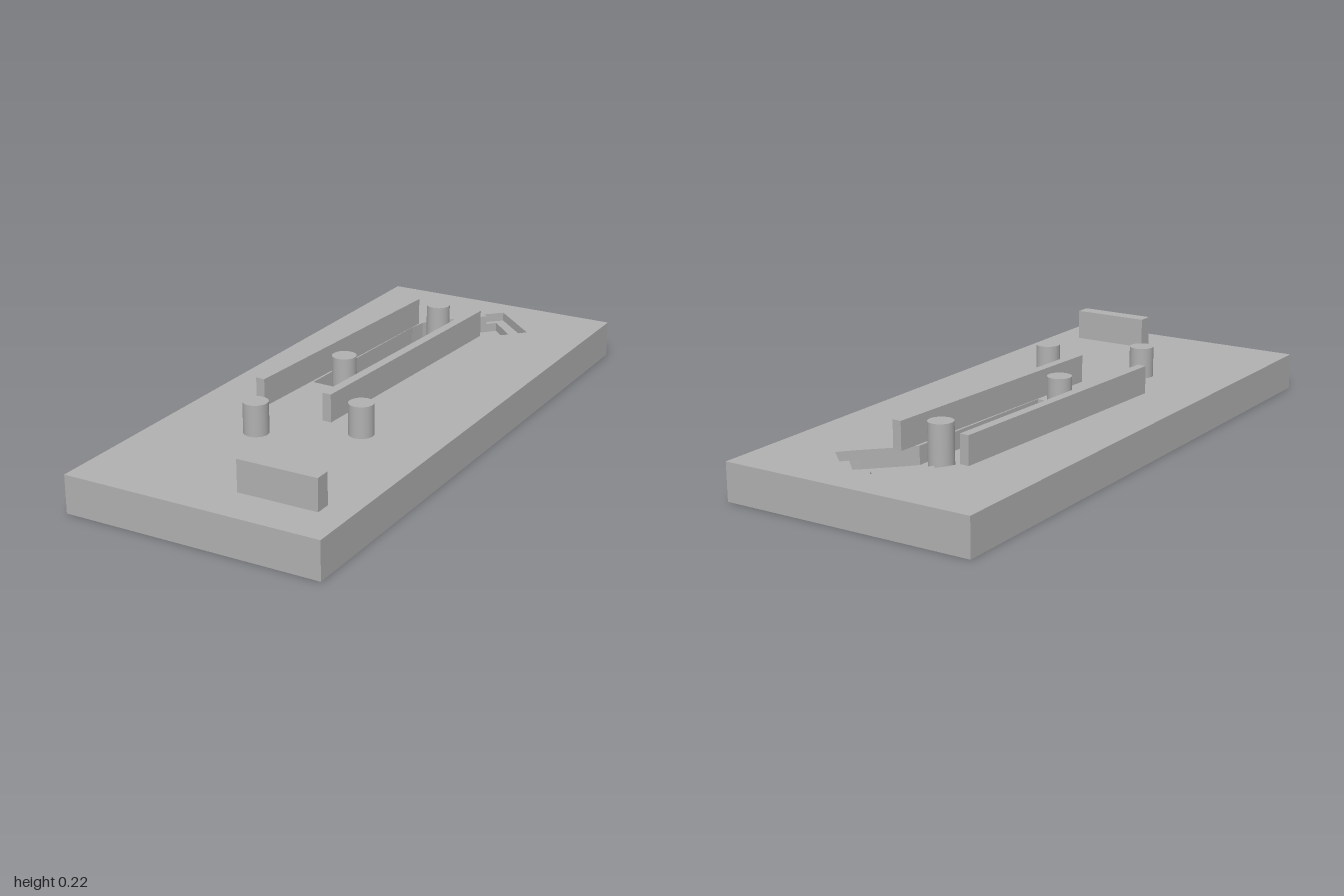
import * as THREE from 'three';

const TOP = 0.123, LEDGE = 0.093, FLOOR = 0.063;

// Plan points are [x, z]; shapes are drawn with y = -z and laid flat.
const toPoints = (plan) => plan.map(([x, z]) => new THREE.Vector2(x, -z));

function layer(hole, bottom, top) {
  const shape = new THREE.Shape(toPoints([[-0.427, 1], [0.427, 1], [0.427, -1], [-0.427, -1]]));
  if (hole) shape.holes.push(new THREE.Path(toPoints(hole)));
  const geo = new THREE.ExtrudeGeometry(shape, { depth: top - bottom, bevelEnabled: false });
  return geo.rotateX(-Math.PI / 2).translate(0, bottom, 0);
}

export function createModel() {
  const group = new THREE.Group();
  const grey = new THREE.MeshStandardMaterial({ color: 0xb0b0b0 });
  grey.name = 'plainGrey';

  const add = (name, geo, x = 0, y = 0, z = 0) => {
    const mesh = new THREE.Mesh(geo, grey);
    mesh.name = name;
    mesh.position.set(x, y, z);
    group.add(mesh);
    return mesh;
  };

  // Base slab with a stepped pocket sunk into its top
  const side = [
    [0.02, 0.03], [-0.185, 0.022], [-0.157, -0.61], [-0.147, -0.67], [-0.13, -0.705],
    [-0.115, -0.725], [-0.1, -0.71], [-0.078, -0.745], [-0.083, -0.757], [-0.05, -0.767],
    [0.02, -0.85],
  ];
  const end = [[0.17, -0.708], [0.082, -0.62], [0.046, -0.58]];
  const pocket = [...side, [0.045, -0.878], [0.193, -0.73], ...end];
  const pocketWithLedge = [...side, [0.003, -0.863], [0.055, -0.915], [0.218, -0.762], ...end];
  add('baseBottom', layer(null, 0, FLOOR));
  add('basePocket', layer(pocket, FLOOR, LEDGE));
  add('basePocketLedge', layer(pocketWithLedge, LEDGE, TOP));

  // Two slanted guide rails
  for (const [name, x, z] of [['rightRail', -0.197, -0.19], ['leftRail', 0.05, -0.18]]) {
    const rail = add(name, new THREE.BoxGeometry(0.031, 0.215 - TOP, 0.94), x, (0.215 + TOP) / 2, z);
    rail.rotation.y = -0.055;
  }

  // Round pegs; the first two stand on the pocket floor
  const pegs = [[-0.055, -0.61, FLOOR], [-0.085, -0.007, FLOOR], [0.165, 0.322, TOP], [-0.118, 0.467, TOP]];
  for (const [x, z, foot] of pegs) {
    const h = 0.225 - foot;
    add('peg', new THREE.CylinderGeometry(0.04, 0.04, h, 40), x, foot + h / 2, z);
  }

  // Stop block near the front edge
  add('stopBlock', new THREE.BoxGeometry(0.264, 0.225 - TOP, 0.052), 0.202, (0.225 + TOP) / 2, 0.831);

  return group;
}
